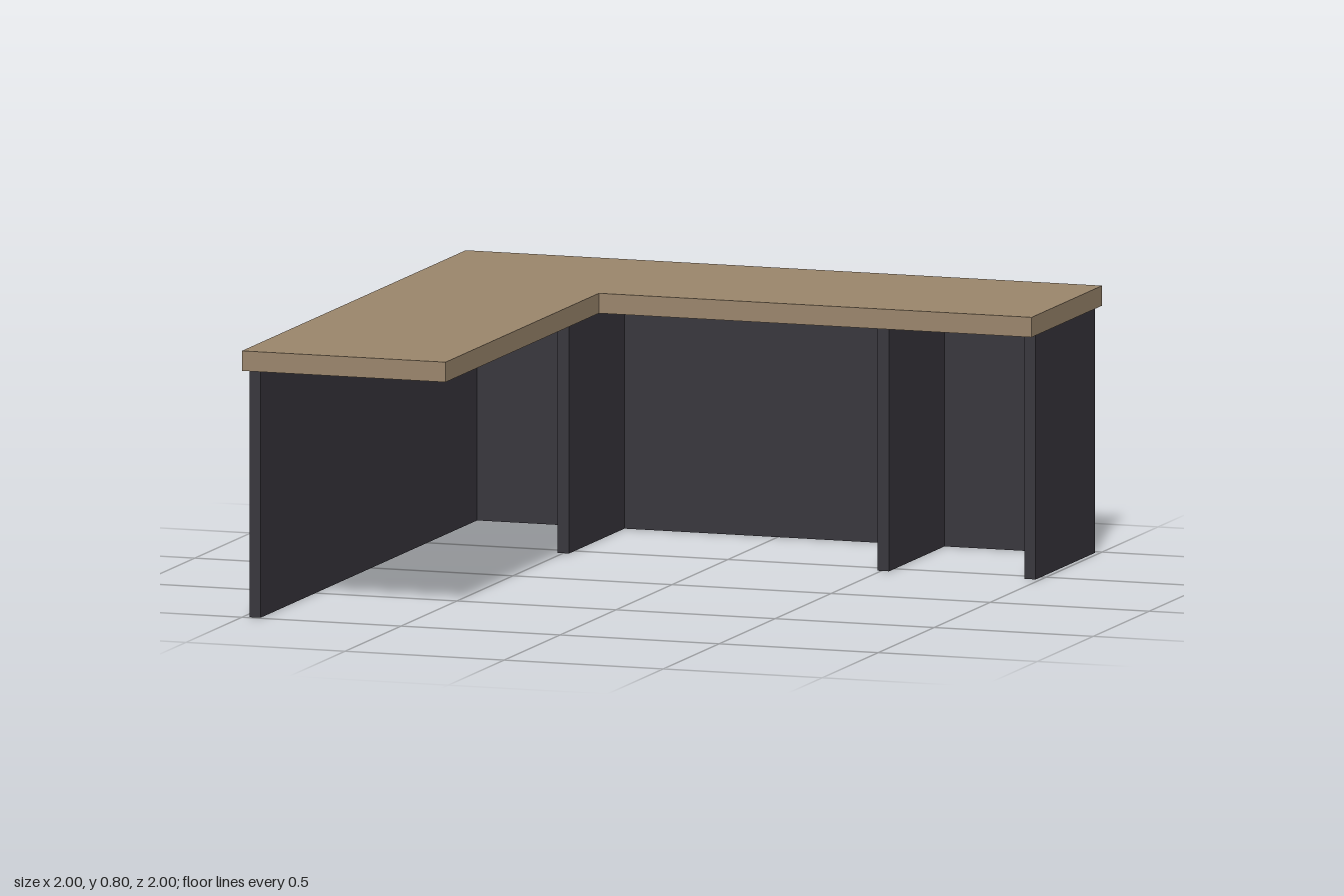
import * as THREE from 'three';

const TOP = 0.8, UNDER = 0.74;

export function createModel() {
  const wood = new THREE.MeshStandardMaterial({ name: 'tan wood', color: 0x9b866c });
  const panelMat = new THREE.MeshStandardMaterial({ name: 'charcoal panel', color: 0x37353c });
  const group = new THREE.Group();
  group.name = 'cornerDesk';

  // L-shaped worktop, outlined in x and z
  const outline = new THREE.Shape(
    [[-1, -1], [1, -1], [1, -0.37], [-0.36, -0.37], [-0.36, 1], [-1, 1]]
      .map(([x, z]) => new THREE.Vector2(x, z)));
  const topGeo = new THREE.ExtrudeGeometry(outline, { depth: TOP - UNDER, bevelEnabled: false });
  topGeo.rotateX(Math.PI / 2).translate(0, TOP, 0);
  const worktop = new THREE.Mesh(topGeo, wood);
  worktop.name = 'worktop';
  group.add(worktop);

  // Upright panel from the floor to the underside of the worktop
  function panel(name, x0, x1, z0, z1) {
    const mesh = new THREE.Mesh(new THREE.BoxGeometry(x1 - x0, UNDER, z1 - z0), panelMat);
    mesh.position.set((x0 + x1) / 2, UNDER / 2, (z0 + z1) / 2);
    mesh.name = name;
    group.add(mesh);
  }
  panel('sidePanel', -0.98, -0.945, -0.98, 0.99);
  panel('backPanel', -0.945, 0.985, -0.98, -0.945);

  // Dividers and end panel standing against the back panel
  panel('innerDivider', -0.518, -0.482, -0.945, -0.45);
  panel('outerDivider', 0.488, 0.524, -0.945, -0.45);
  panel('endPanel', 0.95, 0.985, -0.945, -0.45);

  return group;
}
